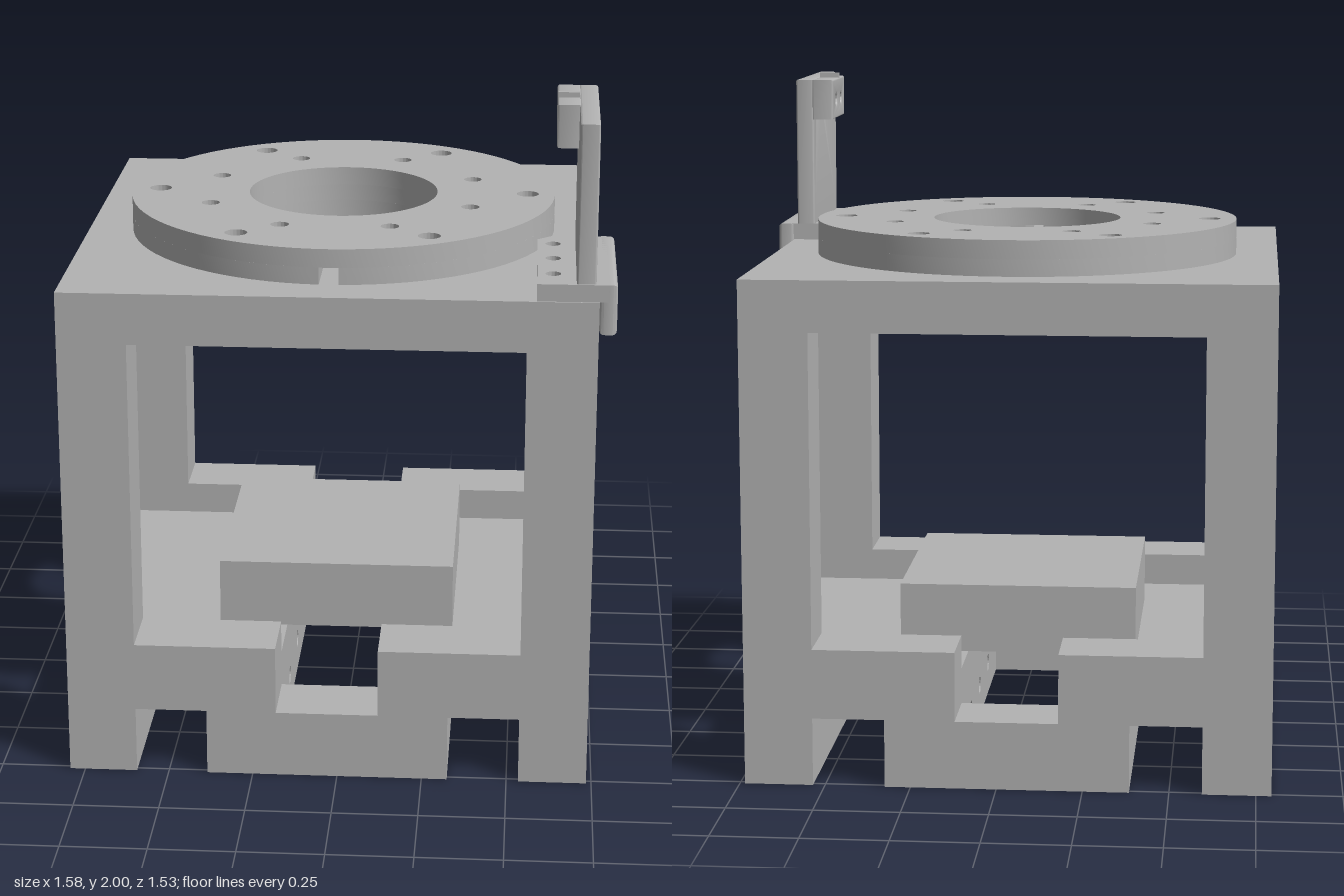
import * as THREE from 'three';
import { toCreasedNormals } from 'three/addons/utils/BufferGeometryUtils.js';

const grey = new THREE.MeshStandardMaterial({ color: 0xb3b3b3 });
grey.name = 'machined grey';
const CX = -0.03; // centre line of the frame

// Closed outline from points, with round holes given as [x, y, radius]
function outline(points, holes = []) {
  return drill(new THREE.Shape(points.map(([x, y]) => new THREE.Vector2(x, y))), holes);
}
function drill(shape, holes) {
  for (const [x, y, r] of holes) {
    const path = new THREE.Path();
    path.absarc(x, y, r, 0, Math.PI * 2, true);
    shape.holes.push(path);
  }
  return shape;
}
const rect = (x0, x1, y0, y1, holes) => outline([[x0, y0], [x1, y0], [x1, y1], [x0, y1]], holes);
function disc(r, holes) {
  const shape = new THREE.Shape();
  shape.absarc(CX, 0, r, 0, Math.PI * 2, false);
  return drill(shape, holes);
}

export function createModel() {
  const model = new THREE.Group();
  model.name = 'machineFrame';

  function add(name, geometry) {
    const mesh = new THREE.Mesh(geometry, grey);
    mesh.name = name;
    model.add(mesh);
  }
  // Extrudes from a to b along an axis; shapes are (x,-z) for y and (-z,y) for x
  function prism(name, shape, axis, a, b, bevel = 0) {
    const geo = new THREE.ExtrudeGeometry(shape, {
      depth: b - a - 2 * bevel, curveSegments: 40, bevelEnabled: bevel > 0,
      bevelThickness: bevel, bevelSize: bevel, bevelOffset: -bevel, bevelSegments: 3,
    });
    geo.translate(0, 0, a + bevel);
    if (axis === 'y') geo.rotateX(-Math.PI / 2);
    if (axis === 'x') geo.rotateY(Math.PI / 2);
    add(name, toCreasedNormals(geo, 0.6));
  }
  function box(name, x0, x1, y0, y1, z0, z1) {
    const geo = new THREE.BoxGeometry(x1 - x0, y1 - y0, z1 - z0);
    geo.translate((x0 + x1) / 2, (y0 + y1) / 2, (z0 + z1) / 2);
    add(name, geo);
  }

  // Front and back frames: two legs joined by a slotted cross rail
  const half = [[0.15, 0.2], [0.15, 0.405], [0.565, 0.405], [0.565, 1.33], [0.765, 1.33],
    [0.765, 0], [0.565, 0], [0.565, 0.2], [0.355, 0.2], [0.355, 0]];
  const frame = [...half.map(([x, y]) => [CX + x, y]),
    ...half.slice().reverse().map(([x, y]) => [CX - x, y])];
  prism('frontFrame', outline(frame), 'z', 0.565, 0.765);
  prism('backFrame', outline(frame), 'z', -0.765, -0.565);

  // Drilled side beams and inner rails, with the deck between them
  const sideHoles = [-0.28, 0, 0.28].map((z) => [z, 0.1, 0.027]);
  for (const s of [-1, 1]) {
    const span = (a, b) => [CX + s * a, CX + s * b].sort((p, q) => p - q);
    const side = s > 0 ? 'right' : 'left';
    prism(side + 'SideBeam', rect(-0.565, 0.565, 0, 0.305, sideHoles), 'x', ...span(0.565, 0.765));
    prism(side + 'InnerRail', rect(-0.565, 0.565, 0, 0.2, sideHoles), 'x', ...span(0.15, 0.355));
    box(side + 'Deck', ...span(0.15, 0.565), 0.2, 0.305, -0.565, 0.565);
  }
  box('centreBlock', CX - 0.355, CX + 0.355, 0.305, 0.51, -0.36, 0.36);

  // Hole patterns of the round flange
  const ring = (n, r, start, size) => Array.from({ length: n }, (_, i) => {
    const a = start + (i * Math.PI * 2) / n;
    return [CX + r * Math.cos(a), r * Math.sin(a), size];
  });
  const outerHoles = ring(6, 0.558, 0, 0.033);
  const innerHoles = ring(8, 0.42, Math.PI / 8, 0.027);
  const pockets = ring(8, 0.42, Math.PI / 8, 0.046);
  const clampHoles = [[0.605, -0.35, 0.015], [0.605, -0.5, 0.015]];

  // Top plate: wide recess below, lip in the middle, bore above
  [[1.33, 1.38, [[CX, 0, 0.47]]],
    [1.38, 1.42, [[CX, 0, 0.197], ...pockets]],
    [1.42, 1.48, [[CX, 0, 0.285], ...pockets]],
  ].forEach(([a, b, holes], i) => prism('topPlate' + (i + 1),
    rect(-0.795, 0.735, -0.765, 0.765, [...holes, ...outerHoles, ...clampHoles]), 'y', a, b));

  // Round flange: lower half is cut by a channel towards the front
  const ro = 0.64, ri = 0.285, ao = Math.asin(0.028 / ro), ai = Math.asin(0.028 / ri);
  const cut = new THREE.Shape();
  cut.absarc(CX, 0, ro, -Math.PI / 2 + ao, Math.PI * 1.5 - ao, false);
  cut.absarc(CX, 0, ri, Math.PI * 1.5 - ai, -Math.PI / 2 + ai, true);
  prism('flangeLower', drill(cut, [...outerHoles, ...innerHoles]), 'y', 1.48, 1.53);
  prism('flangeUpper', disc(ro, [[CX, 0, ri], ...outerHoles, ...innerHoles]), 'y', 1.53, 1.585);

  // Corner clamp: drilled top flange with a clipped corner, and an outer lip
  prism('clampTop', outline([[0.56, -0.76], [0.76, -0.76], [0.76, -0.265], [0.605, -0.265], [0.56, -0.305]],
    [0.35, 0.5, 0.655].map((z) => [0.605, -z, 0.022])), 'y', 1.48, 1.53);
  prism('clampLip', rect(-0.76, -0.26, 1.385, 1.53,
    [[-0.585, 1.455, 0.02], [-0.43, 1.455, 0.02]]), 'x', 0.735, 0.785, 0.012);

  // Upright plate with its head block and locating tab
  const headHoles = [[-0.45, 1.92, 0.018], [-0.35, 1.92, 0.018]];
  prism('uprightPlate', rect(-0.755, -0.27, 1.52, 1.985, headHoles), 'x', 0.67, 0.725, 0.006);
  prism('headBlock', rect(-0.525, -0.27, 1.86, 1.985, headHoles), 'x', 0.608, 0.675, 0.006);
  box('headTab', 0.61, 0.67, 1.97, 2.0, 0.415, 0.432);

  return model;
}
